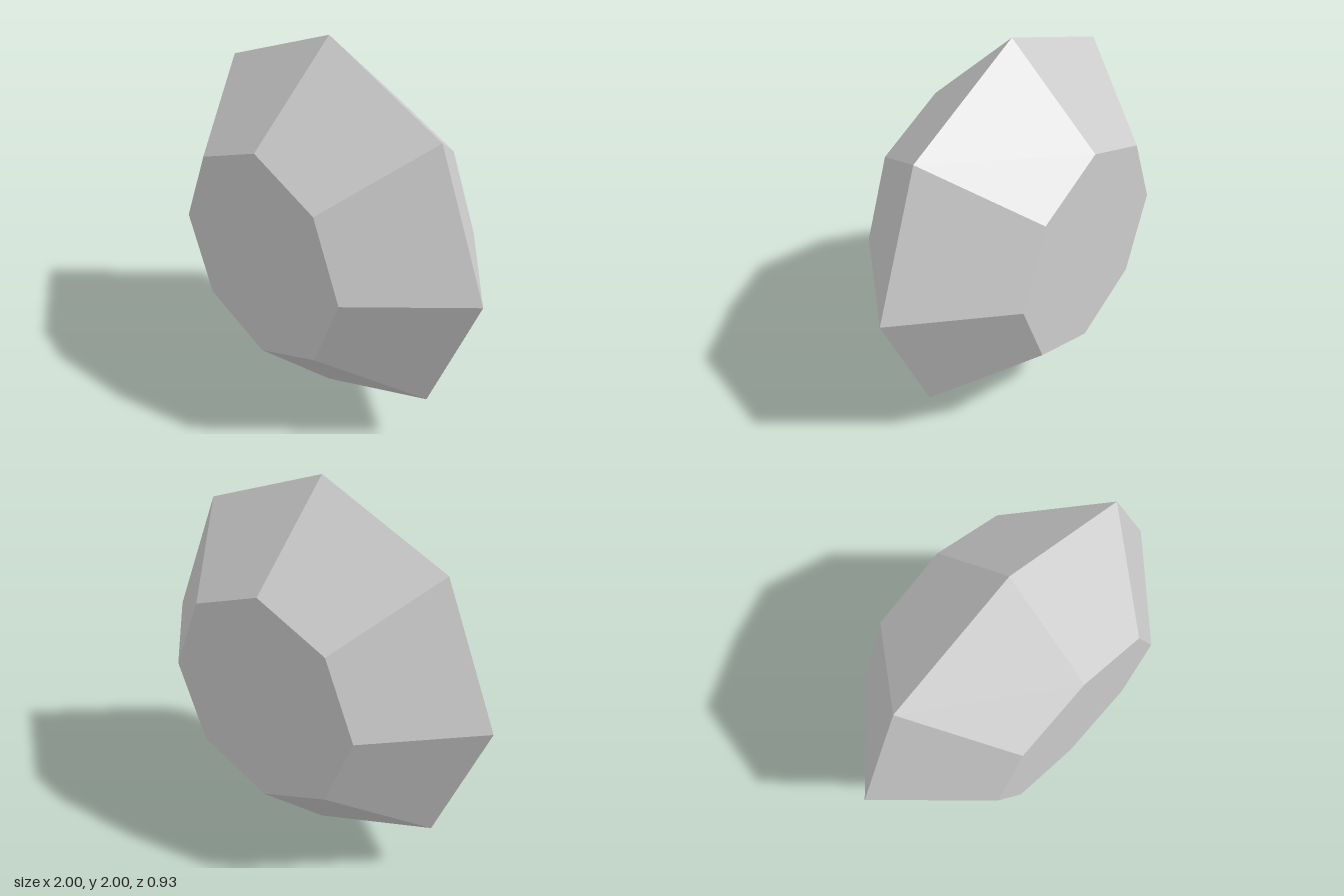
import * as THREE from 'three';

const SIDES = 8, GIRDLE = 1, TABLE = 0.556, DEPTH = 0.463;

export function createModel() {
  const stone = new THREE.MeshStandardMaterial({ color: 0xcccccc, flatShading: true });
  stone.name = 'pale grey stone';

  const gem = new THREE.Group();
  gem.name = 'gem';
  gem.position.y = 1;

  const add = (name, geometry) => {
    const mesh = new THREE.Mesh(geometry, stone);
    mesh.name = name;
    gem.add(mesh);
    return mesh;
  };

  // Sloping facets on both sides of the sharp girdle, turned to face front and back
  const profile = [[TABLE, -DEPTH], [GIRDLE, 0], [TABLE, DEPTH]].map(([r, h]) => new THREE.Vector2(r, h));
  add('facets', new THREE.LatheGeometry(profile, SIDES).rotateX(Math.PI / 2));

  // Flat octagonal faces
  add('frontTable', new THREE.CircleGeometry(TABLE, SIDES)).position.z = DEPTH;
  const back = add('backTable', new THREE.CircleGeometry(TABLE, SIDES));
  back.position.z = -DEPTH;
  back.rotation.y = Math.PI;

  const model = new THREE.Group();
  model.name = 'octagonalGem';
  model.add(gem);
  return model;
}
